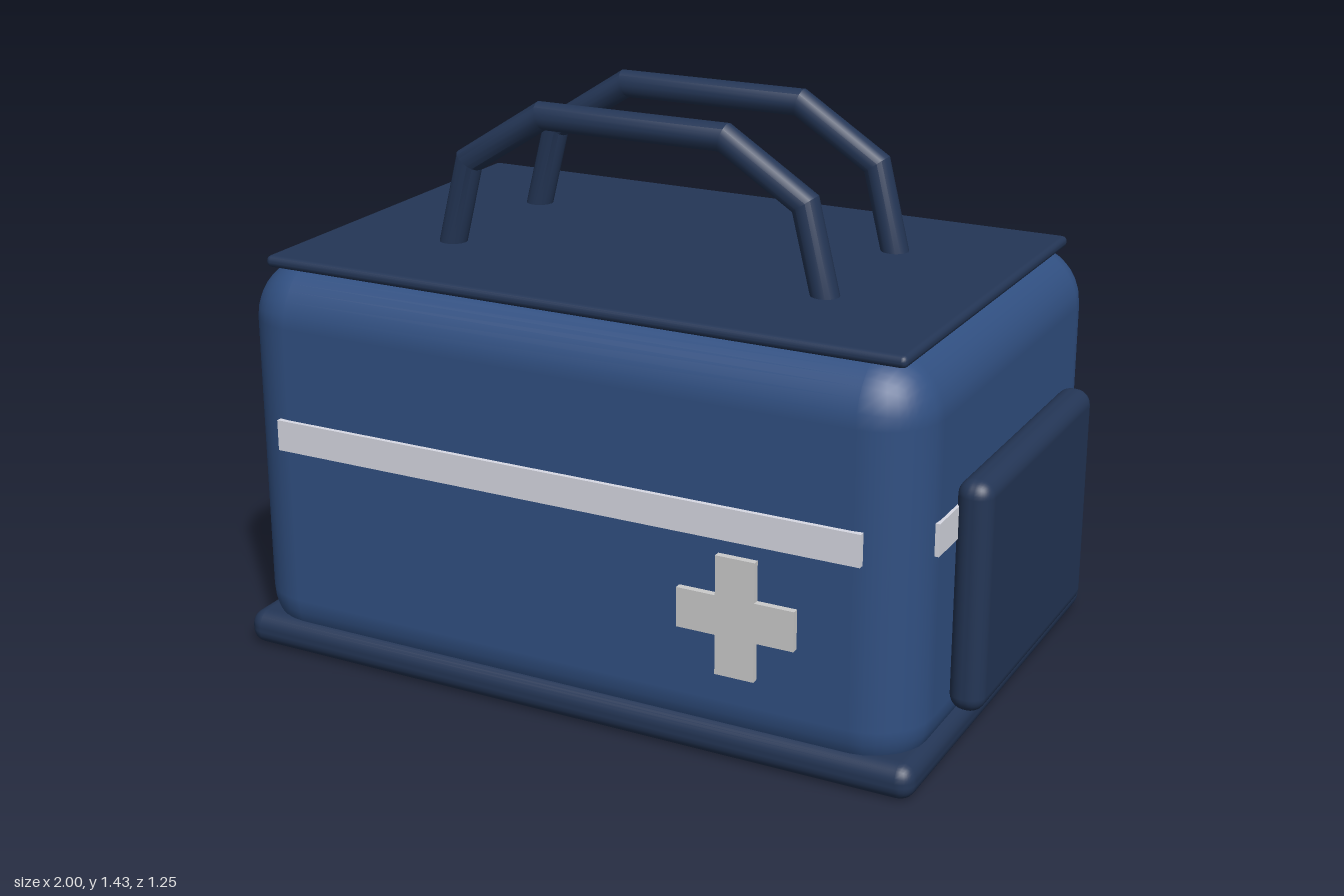
import * as THREE from 'three';
import { toCreasedNormals } from 'three/addons/utils/BufferGeometryUtils.js';
import { RoundedBoxGeometry } from 'three/addons/geometries/RoundedBoxGeometry.js';

const material = (color) => new THREE.MeshStandardMaterial({ color });

export function createModel() {
  const group = new THREE.Group();
  const navy = material(0x315082);
  const dark = material(0x243656);
  const tape = material(0xd8dae4);
  const grey = material(0xcccccc);

  const add = (name, geometry, mat, x = 0, y = 0, z = 0) => {
    const mesh = new THREE.Mesh(geometry, mat);
    mesh.name = name;
    mesh.position.set(x, y, z);
    group.add(mesh);
    return mesh;
  };

  // Main bag, base rim and lid
  add('body', new RoundedBoxGeometry(1.83, 1.03, 1.22, 4, 0.15), navy, 0, 0.518, 0);
  add('base', new RoundedBoxGeometry(1.854, 0.09, 1.24, 3, 0.04), dark, 0, 0.045, 0);
  add('lid', new RoundedBoxGeometry(1.71, 0.03, 1.1, 2, 0.014), dark, 0, 1.03, 0);

  // Side pockets and the tape strips behind them
  for (const s of [-1, 1]) {
    const side = s > 0 ? 'left' : 'right';
    add(side + 'Pocket', new RoundedBoxGeometry(0.088, 0.58, 0.76, 4, 0.04), dark, s * 0.956, 0.42, 0);
    add(side + 'Stripe', new THREE.BoxGeometry(0.02, 0.08, 0.97), tape, s * 0.913, 0.605, 0);
  }

  // Front and back tape strips, crosses and handles
  const cross = crossGeometry(0.15, 0.05, 0.024);
  const handle = handleGeometry(0.035);
  for (const s of [-1, 1]) {
    const side = s > 0 ? 'front' : 'back';
    add(side + 'Stripe', new THREE.BoxGeometry(1.58, 0.08, 0.02), tape, 0, 0.605, s * 0.612);
    add(side + 'Cross', cross, grey, 0.485, 0.377, s * 0.615);
    add(side + 'Handle', handle, dark, 0, 0, s * 0.215);
  }
  return group;
}

// Plus-shaped plate centred on its own origin
function crossGeometry(long, half, depth) {
  const a = long, b = half;
  const outline = [[b, b], [b, a], [-b, a], [-b, b], [-a, b], [-a, -b],
    [-b, -b], [-b, -a], [b, -a], [b, -b], [a, -b], [a, b]];
  const shape = new THREE.Shape(outline.map(([x, y]) => new THREE.Vector2(x, y)));
  const geometry = new THREE.ExtrudeGeometry(shape, { depth, bevelEnabled: false });
  return geometry.translate(0, 0, -depth / 2);
}

// Tube bent along straight runs, with mitred corners
function handleGeometry(radius) {
  const half = [[-0.518, 1.03], [-0.46, 1.26], [-0.248, 1.395]];
  const path = [...half, ...half.map(([x, y]) => [-x, y]).reverse()]
    .map(([x, y]) => new THREE.Vector2(x, y));
  const last = path.length - 1;

  // Mitre direction and stretch at each path point
  const mitres = path.map((p, i) => {
    const before = path[Math.max(i, 1)].clone().sub(path[Math.max(i, 1) - 1]).normalize();
    const after = path[Math.min(i + 1, last)].clone().sub(path[Math.min(i, last - 1)]).normalize();
    const t = before.clone().add(after).normalize();
    return new THREE.Vector2(t.y, -t.x).divideScalar(t.dot(before));
  });

  const geometry = new THREE.CylinderGeometry(radius, radius, 1, 16, last);
  const pos = geometry.attributes.position;
  for (let i = 0; i < pos.count; i++) {
    const row = Math.round((pos.getY(i) + 0.5) * last);
    const p = path[row].clone().addScaledVector(mitres[row], pos.getX(i));
    pos.setXY(i, p.x, p.y);
  }
  return toCreasedNormals(geometry, 0.45);
}
